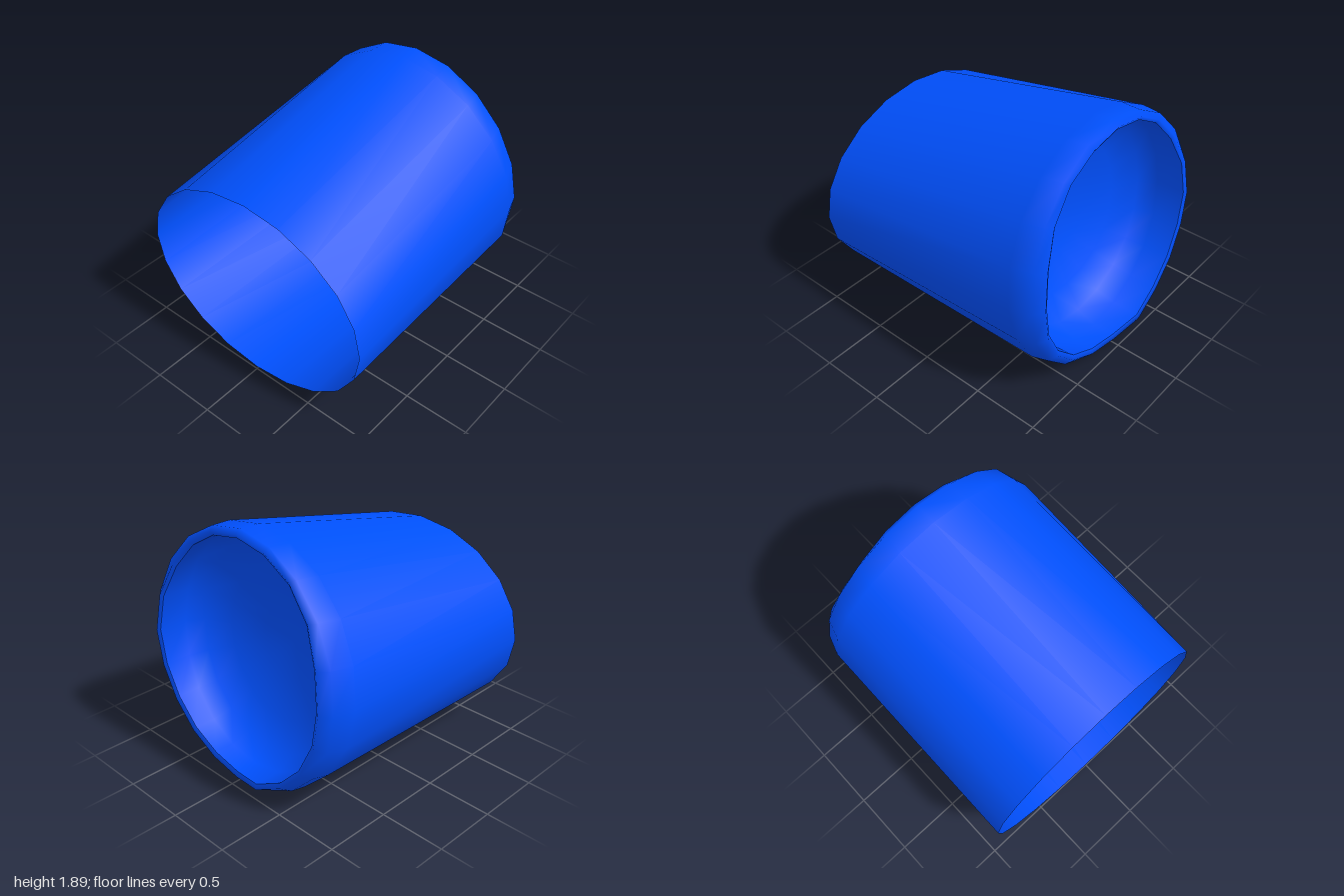
import * as THREE from 'three';

const SIDES = 20;

// Lip edge x positions, going from the top round the +z side, bottom, then the -z side
const LIP = [0.86, 0.86, 0.86, 0.885, 0.935, 0.96, 0.955, 0.95, 0.95, 0.95,
  0.96, 1.0, 0.985, 0.975, 0.965, 0.96, 0.935, 0.885, 0.86, 0.86];

// Oval ring round the x axis: cy = centre height, ry/rz = radii,
// x(k, cos) = position along the tube, sag = how far the sides drop
function ring(cy, ry, rz, x, sag = 0.028) {
  return Array.from({ length: SIDES }, (_, k) => {
    const a = (k / SIDES) * Math.PI * 2, c = Math.cos(a), s = Math.sin(a);
    return [x(k, c), cy + ry * c - sag * s * s, rz * s];
  });
}

// Smooth skin through a list of rings, with an optional centre point closing the last ring
function skin(rings, centre) {
  const index = [];
  const points = rings.flat();
  for (let i = 0; i < rings.length - 1; i++) {
    for (let k = 0; k < SIDES; k++) {
      const a = i * SIDES + k, b = i * SIDES + ((k + 1) % SIDES);
      index.push(a, b, a + SIDES, b, b + SIDES, a + SIDES);
    }
  }
  if (centre) {
    const o = (rings.length - 1) * SIDES;
    for (let k = 0; k < SIDES; k++) index.push(o + k, o + ((k + 1) % SIDES), points.length);
    points.push(centre);
  }
  const g = new THREE.BufferGeometry();
  g.setAttribute('position', new THREE.Float32BufferAttribute(points.flat(), 3));
  g.setIndex(index);
  g.computeVertexNormals();
  return g;
}

export function createModel() {
  const group = new THREE.Group();
  group.name = 'sleeve';
  const material = new THREE.MeshStandardMaterial({ color: 0x0050ff, side: THREE.DoubleSide });

  const lipInner = ring(0.955, 0.875, 0.81, (k) => LIP[k] - 0.015);

  // Open tube, rounding over into the rim
  const outer = new THREE.Mesh(skin([
    ring(0.77, 0.745, 0.96, () => -1, 0),
    ring(0.943, 0.938, 0.96, (k, c) => 0.75 - 0.09 * c),
    ring(0.946, 0.944, 0.91, (k, c) => 0.90 - 0.08 * Math.max(c, -0.12)),
    ring(0.95, 0.907, 0.838, (k) => LIP[k]),
    lipInner,
  ]), material);
  outer.name = 'outerWall';

  // Rounded bowl behind the rim, closing the tube
  const bowl = new THREE.Mesh(skin([
    lipInner,
    ring(0.95, 0.875, 0.81, (k, c) => 0.72 - 0.06 * c),
    ring(0.94, 0.8, 0.75, (k, c) => 0.58 - 0.05 * c),
    ring(0.93, 0.6, 0.57, (k, c) => 0.47 - 0.03 * c),
    ring(0.92, 0.3, 0.29, (k, c) => 0.39 - 0.01 * c),
  ], [0.37, 0.92, 0]), material);
  bowl.name = 'mouthBowl';

  group.add(outer, bowl);
  return group;
}
